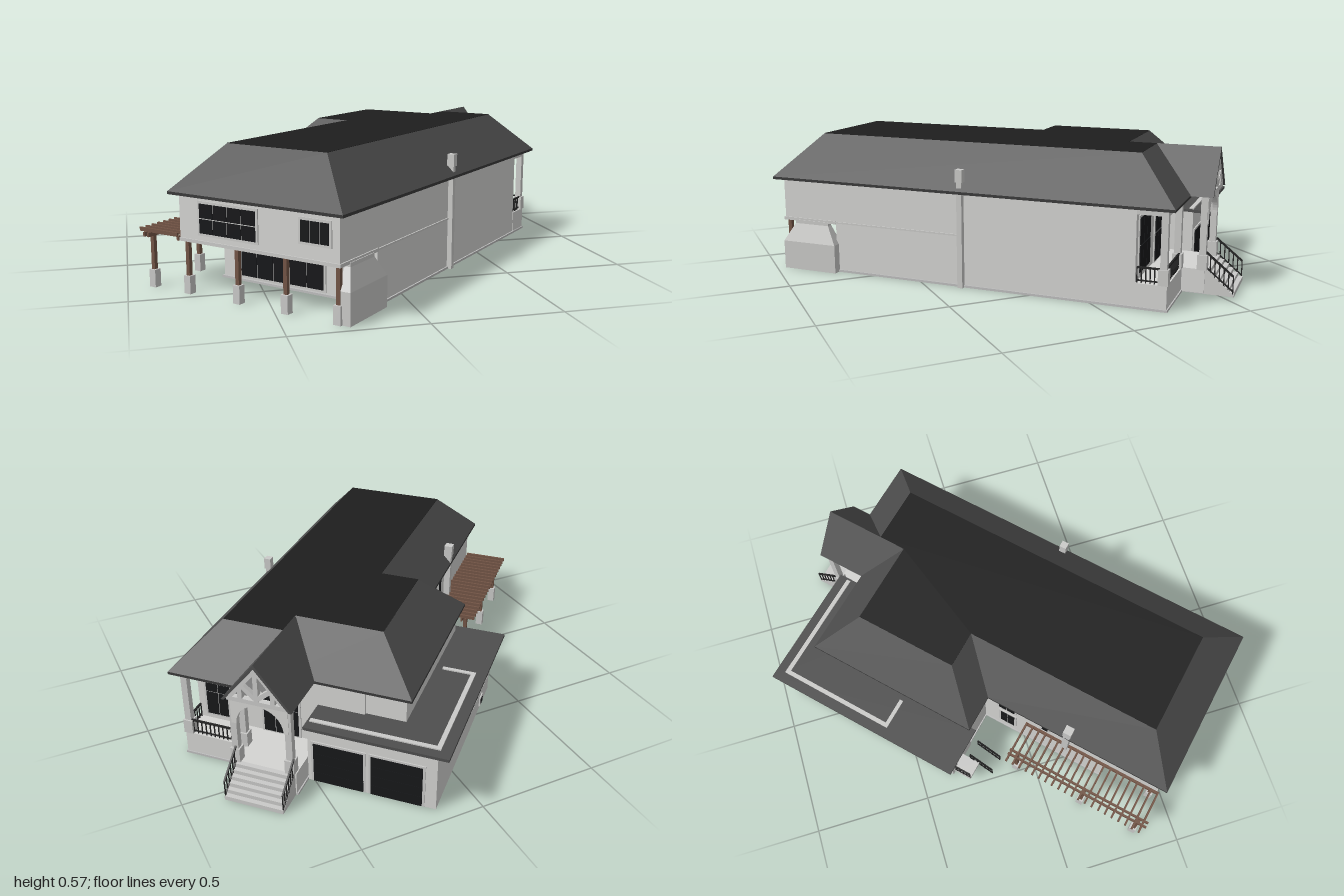
import * as THREE from 'three';

const mat = (name, color, side = THREE.FrontSide) => {
  const m = new THREE.MeshStandardMaterial({ color, side });
  m.name = name;
  return m;
};

export function createModel() {
  const wall = mat('wall', 0xd4d4d2), trim = mat('trim', 0xcacac8), slope = mat('roofSlope', 0x4e4e4e, THREE.DoubleSide);
  const flat = mat('roofDeck', 0x1e1e1e), fascia = mat('fascia', 0x3a3a3a), glass = mat('glass', 0x17181a);
  const iron = mat('iron', 0x242424), wood = mat('wood', 0x735546), base = mat('foundation', 0xbebebe);

  const model = new THREE.Group();
  model.name = 'house';
  const house = new THREE.Group();
  house.name = 'building';
  house.rotation.y = 0.769; // long axis runs diagonally
  model.add(house);

  const add = (name, geo, m) => {
    const mesh = new THREE.Mesh(geo, m);
    mesh.name = name;
    house.add(mesh);
    return mesh;
  };
  const box = (name, m, x0, x1, y0, y1, z0, z1) =>
    add(name, new THREE.BoxGeometry(x1 - x0, y1 - y0, z1 - z0), m)
      .position.set((x0 + x1) / 2, (y0 + y1) / 2, (z0 + z1) / 2);
  // vertical prism over a plan outline of [x, z] points
  const prism = (name, m, plan, y0, y1) => {
    const s = new THREE.Shape(plan.map(([x, z]) => new THREE.Vector2(x, -z)));
    const g = new THREE.ExtrudeGeometry(s, { depth: y1 - y0, bevelEnabled: false });
    g.rotateX(-Math.PI / 2).translate(0, y0, 0);
    return add(name, g, m);
  };
  // sloping faces between two matching outlines
  const loft = (name, m, low, high, y0, y1) => {
    const p = [];
    low.forEach((a, i) => {
      const j = (i + 1) % low.length, b = low[j], c = high[j], d = high[i];
      p.push(a[0], y0, a[1], b[0], y0, b[1], c[0], y1, c[1], a[0], y0, a[1], c[0], y1, c[1], d[0], y1, d[1]);
    });
    const g = new THREE.BufferGeometry();
    g.setAttribute('position', new THREE.Float32BufferAttribute(p, 3));
    g.computeVertexNormals();
    return add(name, g, m);
  };
  const beam = (name, m, a, b, w) => {
    const p = new THREE.Vector3(...a), q = new THREE.Vector3(...b);
    const mesh = add(name, new THREE.BoxGeometry(w, p.distanceTo(q), w), m);
    mesh.position.copy(p).add(q).multiplyScalar(0.5);
    mesh.quaternion.setFromUnitVectors(new THREE.Vector3(0, 1, 0), q.sub(p).normalize());
  };
  // thin plate on a wall facing the given axis and sign
  const plate = (name, m, axis, sgn, at, a0, a1, y0, y1, t) => {
    const lo = sgn > 0 ? at : at - t, hi = sgn > 0 ? at + t : at;
    if (axis === 'x') box(name, m, lo, hi, y0, y1, a0, a1);
    else box(name, m, a0, a1, y0, y1, lo, hi);
  };
  const win = (name, axis, sgn, at, a0, a1, y0, y1, cols, rows = 1) => {
    plate(name + 'Frame', trim, axis, sgn, at, a0 - 0.008, a1 + 0.008, y0 - 0.008, y1 + 0.008, 0.005);
    const w = (a1 - a0) / cols, h = (y1 - y0) / rows, g = 0.002;
    for (let i = 0; i < cols; i++) for (let j = 0; j < rows; j++)
      plate(name + 'Pane', glass, axis, sgn, at, a0 + i * w + g, a0 + (i + 1) * w - g,
        y0 + j * h + g, y0 + (j + 1) * h - g, 0.008);
  };
  const rail = (a, b, h = 0.06) => {
    const up = (p, d) => [p[0], p[1] + d, p[2]];
    beam('railTop', iron, up(a, h), up(b, h), 0.007);
    beam('railBottom', iron, up(a, 0.01), up(b, 0.01), 0.005);
    const n = Math.max(2, Math.round(Math.hypot(a[0] - b[0], a[2] - b[2]) / 0.018));
    for (let i = 0; i <= n; i++) {
      const p = a.map((v, k) => v + (b[k] - v) * i / n);
      beam('baluster', iron, p, up(p, h), 0.004);
    }
  };

  // main walls: the upper storey overhangs the patio at the -x end
  box('lowerWalls', wall, -0.63, 0.66, 0.004, 0.21, -0.24, 0.468);
  box('upperWalls', wall, -0.88, 0.66, 0.21, 0.385, -0.24, 0.468);
  box('wingWalls', wall, -0.05, 0.65, 0.004, 0.385, -0.4, -0.2);
  prism('foundation', base, [[-0.64, 0.474], [0.785, 0.474], [0.785, 0.2], [0.87, 0.2], [0.87, -0.05], [0.66, -0.05],
    [0.66, -0.4], [-0.055, -0.4], [-0.055, -0.245], [-0.64, -0.245]], 0, 0.009);
  box('patioEdgeBand', trim, -0.885, -0.63, 0.205, 0.218, -0.245, 0.473);
  box('sideBand', trim, -0.63, -0.06, 0.209, 0.216, 0.462, 0.473);

  // garage shell, open below
  box('garageBackWall', wall, 0.256, 0.77, 0, 0.266, -0.558, -0.545);
  box('garageFrontWall', wall, 0.755, 0.77, 0, 0.266, -0.545, -0.05);
  box('garageEndWall', wall, 0.256, 0.27, 0, 0.266, -0.545, -0.4);
  box('garageSideWall', wall, 0.65, 0.755, 0, 0.266, -0.064, -0.05);

  // upper hip roof with flat top
  const eave = [[-0.912, 0.5], [0.808, 0.5], [0.808, 0.09], [0.68, 0.09], [0.68, -0.428], [-0.082, -0.428], [-0.082, -0.268], [-0.912, -0.268]];
  const deck = [[-0.755, 0.337], [0.64, 0.337], [0.64, 0.09], [0.525, 0.09], [0.525, -0.265], [0.085, -0.265], [0.085, -0.107], [-0.755, -0.107]];
  loft('hipRoof', slope, eave, deck, 0.395, 0.567);
  prism('roofDeck', flat, deck, 0.563, 0.568);
  prism('fascia', fascia, eave.map(([x, z]) => [x, z === 0.09 ? 0.21 : z]), 0.384, 0.395);

  // lower roof around the garage, with the wall head showing through
  prism('garageRoof', slope, [[-0.088, -0.39], [0.64, -0.39], [0.64, -0.05], [0.81, -0.05], [0.81, -0.608], [-0.088, -0.608]], 0.264, 0.276);
  box('wallHeadBack', trim, 0.25, 0.77, 0.27, 0.281, -0.566, -0.548);
  box('wallHeadSide', trim, 0.752, 0.77, 0.27, 0.281, -0.566, -0.06);
  box('wallHeadEnd', trim, 0.25, 0.266, 0.27, 0.281, -0.548, -0.43);

  // entry gable
  const zc = 0.09, half = 0.14;
  const chev = new THREE.Shape([[-half, 0.392], [0, 0.568], [half, 0.392], [half - 0.012, 0.392], [0, 0.55], [-half + 0.012, 0.392]]
    .map(([x, y]) => new THREE.Vector2(x, y)));
  add('gableRoof', new THREE.ExtrudeGeometry(chev, { depth: 0.365, bevelEnabled: false })
    .rotateY(Math.PI / 2).translate(0.53, 0, zc), slope);
  const gx = 0.88;
  const chord = (z0, y0, z1, y1) => beam('gableTruss', trim, [gx, y0, zc + z0], [gx, y1, zc + z1], 0.018);
  chord(-0.12, 0.4, 0.12, 0.4);
  chord(0, 0.4, 0, 0.54);
  for (const s of [-1, 1]) {
    chord(s * 0.118, 0.395, 0, 0.54);
    chord(0, 0.415, s * 0.06, 0.465);
    chord(s * 0.065, 0.4, s * 0.065, 0.46);
  }
  // arched panel under the truss
  const arch = new THREE.Shape([[-0.115, 0.28], [-0.115, 0.4], [0.115, 0.4], [0.115, 0.28], [0.095, 0.28]].map(p => new THREE.Vector2(...p)));
  arch.absarc(0, 0.28, 0.095, 0, Math.PI, false);
  add('entryArch', new THREE.ExtrudeGeometry(arch, { depth: 0.02, bevelEnabled: false })
    .rotateY(Math.PI / 2).translate(0.855, 0, zc), wall);

  // entry landing, side deck, posts and stairs
  box('entryLanding', wall, 0.66, 0.87, 0.004, 0.1, -0.045, 0.205);
  box('sideDeck', wall, 0.66, 0.78, 0.004, 0.1, 0.2, 0.47);
  const post = (x, z, y0, y1) => {
    box('post', trim, x - 0.013, x + 0.013, y0, y1, z - 0.013, z + 0.013);
    box('postFoot', trim, x - 0.019, x + 0.019, y0, y0 + 0.06, z - 0.019, z + 0.019);
  };
  for (const [x, z] of [[0.765, 0.455], [0.765, 0.215], [0.86, 0.2], [0.86, -0.022]]) post(x, z, 0.1, 0.388);
  box('deckBeam', trim, 0.752, 0.778, 0.36, 0.386, 0.205, 0.468);
  box('deckBeamSide', trim, 0.66, 0.752, 0.36, 0.386, 0.442, 0.468);
  for (let i = 0; i < 6; i++)
    box('entryStep', trim, 0.87, 0.89 + i * 0.019, 0, 0.1 - i * 0.0165, -0.04, 0.2);
  for (const z of [-0.038, 0.198]) rail([0.872, 0.1, z], [0.98, 0.012, z], 0.07);
  rail([0.772, 0.1, 0.455], [0.772, 0.1, 0.215]);
  rail([0.665, 0.1, 0.462], [0.765, 0.1, 0.462]);

  // openings on the entrance end
  win('endWindow', 'x', 1, 0.66, 0.27, 0.43, 0.125, 0.34, 3, 2);
  win('frontDoor', 'x', 1, 0.66, 0.03, 0.18, 0.105, 0.34, 3, 2);
  for (const z0 of [-0.505, -0.275]) {
    plate('garageFrame', trim, 'x', 1, 0.77, z0 - 0.01, z0 + 0.21, 0.004, 0.19, 0.005);
    for (let j = 0; j < 4; j++)
      plate('garageDoor', glass, 'x', 1, 0.77, z0, z0 + 0.2, 0.006 + j * 0.044, 0.049 + j * 0.044, 0.008);
  }

  // openings on the patio end
  win('largeWindow', 'x', -1, -0.88, -0.14, 0.12, 0.245, 0.36, 4, 2);
  win('smallWindow', 'x', -1, -0.88, 0.31, 0.43, 0.275, 0.355, 3);
  win('patioDoor', 'x', -1, -0.63, -0.15, 0.24, 0.02, 0.175, 5);

  // openings on the long back side
  win('backWindow', 'z', -1, -0.24, -0.2, -0.12, 0.27, 0.355, 2, 2);
  win('narrowWindow', 'z', -1, -0.24, -0.36, -0.33, 0.27, 0.355, 1);
  win('backDoor', 'z', -1, -0.24, -0.2, -0.13, 0.085, 0.21, 2, 2);
  win('porchWindow', 'z', -1, -0.4, 0.14, 0.18, 0.15, 0.22, 1);
  win('porchWindow', 'z', -1, -0.4, 0.06, 0.1, 0.15, 0.22, 1);
  win('vent', 'z', -1, -0.558, 0.07, 0.1, 0.025, 0.05, 2);

  // rear porch with a small landing and stair rails
  box('rearPorch', wall, -0.06, 0.256, 0.004, 0.08, -0.558, -0.4);
  post(-0.045, -0.542, 0.08, 0.264);
  rail([-0.045, 0.08, -0.552], [0.256, 0.08, -0.552]);
  box('rearLanding', trim, -0.145, -0.06, 0.062, 0.08, -0.55, -0.47);
  rail([-0.06, 0.08, -0.547], [-0.142, 0.08, -0.547]);
  for (const z of [-0.47, -0.4]) rail([-0.1, 0.08, z], [-0.21, 0.01, z]);

  // patio and pergola posts
  const woodPost = (x, z, top) => {
    box('postBase', trim, x - 0.015, x + 0.015, 0, 0.07, z - 0.015, z + 0.015);
    box('woodPost', wood, x - 0.008, x + 0.008, 0.07, top, z - 0.008, z + 0.008);
  };
  for (const z of [-0.215, 0.02, 0.235, 0.455]) woodPost(-0.865, z, 0.206);
  for (const x of [-0.87, -0.612, -0.289]) woodPost(x, -0.388, 0.21);
  for (const z of [-0.398, -0.378]) box('pergolaBeam', wood, -0.91, -0.25, 0.205, 0.222, z - 0.004, z + 0.004);
  box('pergolaLedger', wood, -0.89, -0.26, 0.205, 0.222, -0.25, -0.24);
  for (let i = 0; i < 21; i++) {
    const x = -0.89 + i * 0.0315;
    box('pergolaRafter', wood, x - 0.004, x + 0.004, 0.22, 0.235, -0.435, -0.243);
  }

  // outdoor fireplace under the overhang
  const rect = (x0, x1, z0, z1) => [[x0, z1], [x1, z1], [x1, z0], [x0, z0]];
  box('fireplaceBody', trim, -0.87, -0.62, 0, 0.12, 0.45, 0.503);
  loft('fireplaceHood', trim, rect(-0.87, -0.62, 0.45, 0.503), rect(-0.825, -0.665, 0.452, 0.476), 0.12, 0.195);
  box('fireplaceFlue', trim, -0.825, -0.665, 0.195, 0.21, 0.452, 0.476);

  // chimneys
  for (const [x, z, y0, w] of [[-0.048, 0.478, 0, 0.011], [-0.45, -0.254, 0.21, 0.014]]) {
    box('chimney', trim, x - w, x + w, y0, 0.45, z - w, z + w);
    box('chimneyCap', trim, x - w - 0.004, x + w + 0.004, 0.43, 0.48, z - w - 0.004, z + w + 0.004);
  }
  return model;
}
